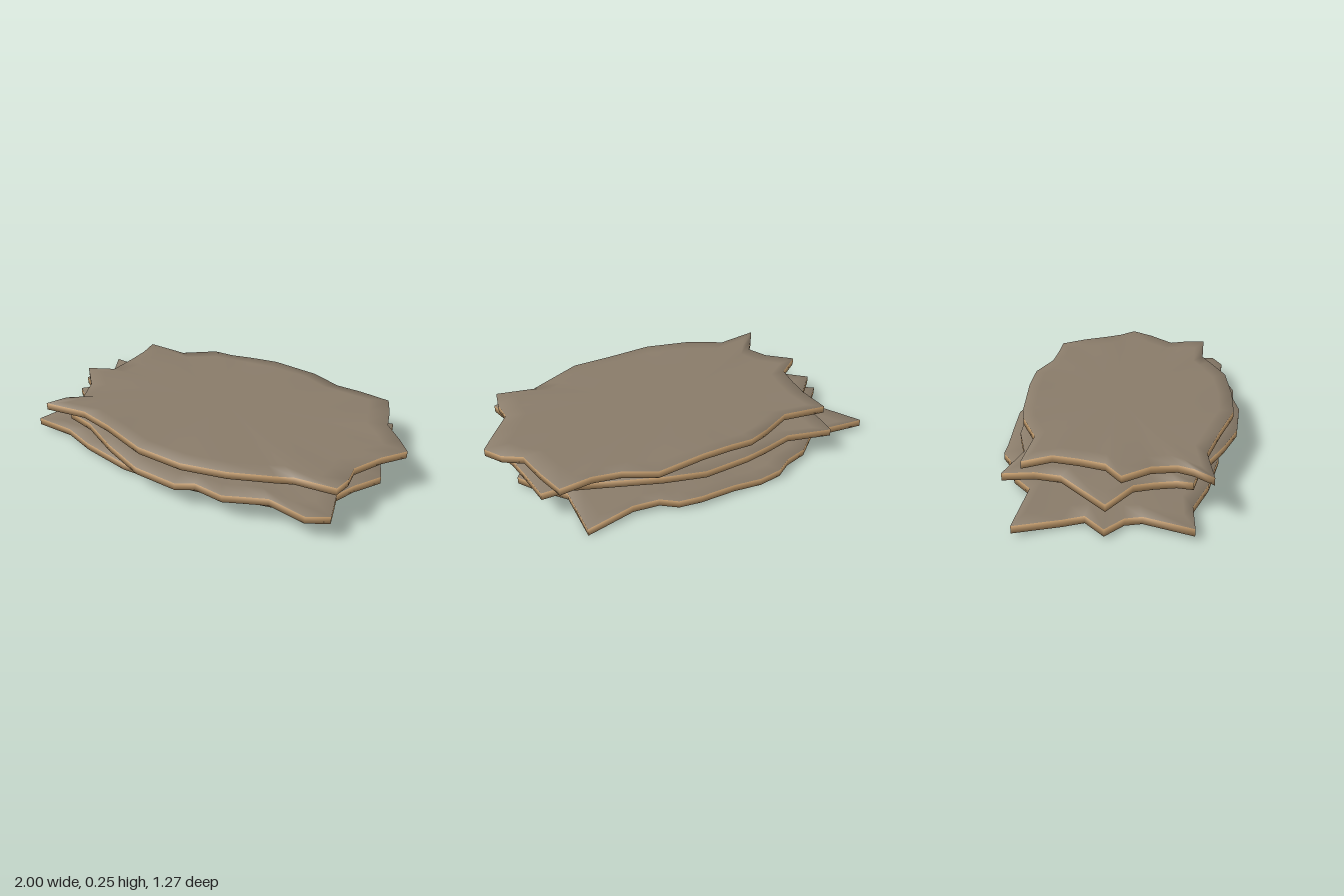
import * as THREE from 'three';

// Ragged outlines as [x, z], running from the +x end round the back
const bottomOutline = [
  [0.82, 0.16], [0.76, 0.02], [0.86, -0.18], [0.77, -0.28], [0.64, -0.38], [0.59, -0.64], [0.36, -0.555],
  [0.23, -0.55], [0.14, -0.575], [0.03, -0.58], [-0.15, -0.54], [-0.3, -0.51], [-0.41, -0.485], [-0.48, -0.42],
  [-0.6, -0.35], [-0.7, -0.23], [-1, -0.2], [-0.87, -0.01], [-0.83, 0.08], [-0.905, 0.19], [-0.79, 0.25],
  [-0.78, 0.33], [-0.81, 0.57], [-0.62, 0.525], [-0.43, 0.565], [-0.16, 0.57], [0.12, 0.5], [0.39, 0.43],
  [0.6, 0.35], [0.73, 0.28]];
const middleOutline = [
  [0.95, -0.02], [0.87, -0.16], [0.82, -0.3], [0.77, -0.47], [0.62, -0.43], [0.45, -0.46], [0.2, -0.51],
  [-0.02, -0.5], [-0.25, -0.44], [-0.36, -0.41], [-0.51, -0.33], [-0.74, -0.35], [-0.71, -0.2], [-0.68, -0.08],
  [-0.85, 0.18], [-0.68, 0.26], [-0.61, 0.34], [-0.58, 0.44], [-0.6, 0.52], [-0.45, 0.52], [-0.3, 0.57],
  [-0.22, 0.6], [0, 0.635], [0.23, 0.615], [0.32, 0.57], [0.46, 0.55], [0.55, 0.5], [0.65, 0.45],
  [0.83, 0.43], [0.92, 0.36], [0.86, 0.22], [0.88, 0.1]];
const topOutline = [
  [0.995, -0.17], [0.92, -0.24], [0.82, -0.3], [0.76, -0.43], [0.69, -0.55], [0.54, -0.52], [0.4, -0.51],
  [0.23, -0.55], [0, -0.5], [-0.15, -0.46], [-0.27, -0.43], [-0.36, -0.39], [-0.51, -0.27], [-0.74, -0.25],
  [-0.68, -0.12], [-0.67, 0], [-0.67, 0.13], [-0.77, 0.23], [-0.64, 0.33], [-0.58, 0.44], [-0.62, 0.52],
  [-0.66, 0.62], [-0.45, 0.55], [-0.24, 0.58], [0, 0.61], [0.23, 0.57], [0.45, 0.5], [0.63, 0.38],
  [0.7, 0.33], [0.9, 0.3], [0.9, 0.2], [0.87, 0.1], [0.93, -0.04]];

// A thin sheet: concentric rings over the top, round the rim and back under
function sheetGeometry(outline, y, phase) {
  const n = outline.length;
  const rings = [[0.6, 0.022], [0.88, 0.02], [1, 0.019], [1, -0.019], [0.88, -0.026], [0.6, -0.028]];
  const pos = [0, y + 0.022, 0];
  for (const [scale, h] of rings) {
    outline.forEach(([x, z], i) => {
      const wave = 0.009 * Math.sin(i * 2.1 + phase) + 0.005 * Math.sin(i * 0.9 + phase * 2);
      pos.push(x * scale, y + h + wave * Math.pow(scale, 6), z * scale);
    });
  }
  const last = pos.length / 3;
  pos.push(0, y - 0.028, 0);

  const top = [], hide = [];
  const at = (ring, i) => 1 + ring * n + (i % n);
  for (let i = 0; i < n; i++) {
    top.push(0, at(0, i), at(0, i + 1));
    for (let r = 0; r < rings.length - 1; r++) {
      const a = at(r, i), b = at(r, i + 1), c = at(r + 1, i), d = at(r + 1, i + 1);
      (r < 2 ? top : hide).push(a, c, d, a, d, b);
    }
    hide.push(last, at(rings.length - 1, i + 1), at(rings.length - 1, i));
  }
  const g = new THREE.BufferGeometry();
  g.setAttribute('position', new THREE.Float32BufferAttribute(pos, 3));
  g.setIndex([...top, ...hide]);
  g.addGroup(0, top.length, 0);
  g.addGroup(top.length, hide.length, 1);
  g.computeVertexNormals();
  return g;
}

export function createModel() {
  const fur = new THREE.MeshStandardMaterial({ color: 0x8b7d6b });
  fur.name = 'greyBrownFur';
  const leather = new THREE.MeshStandardMaterial({ color: 0xc19a6b });
  leather.name = 'tanLeather';

  const model = new THREE.Group();
  model.name = 'hideStack';
  const layers = [
    ['bottomHide', bottomOutline, 0.043, 0.4],
    ['middleHide', middleOutline, 0.137, 1.7],
    ['topHide', topOutline, 0.228, 3.1]];
  for (const [name, outline, y, phase] of layers) {
    const mesh = new THREE.Mesh(sheetGeometry(outline, y, phase), [fur, leather]);
    mesh.name = name;
    model.add(mesh);
  }
  // Rest the lowest point on the ground
  const box = new THREE.Box3().setFromObject(model);
  for (const mesh of model.children) mesh.geometry.translate(0, -box.min.y, 0);
  return model;
}
